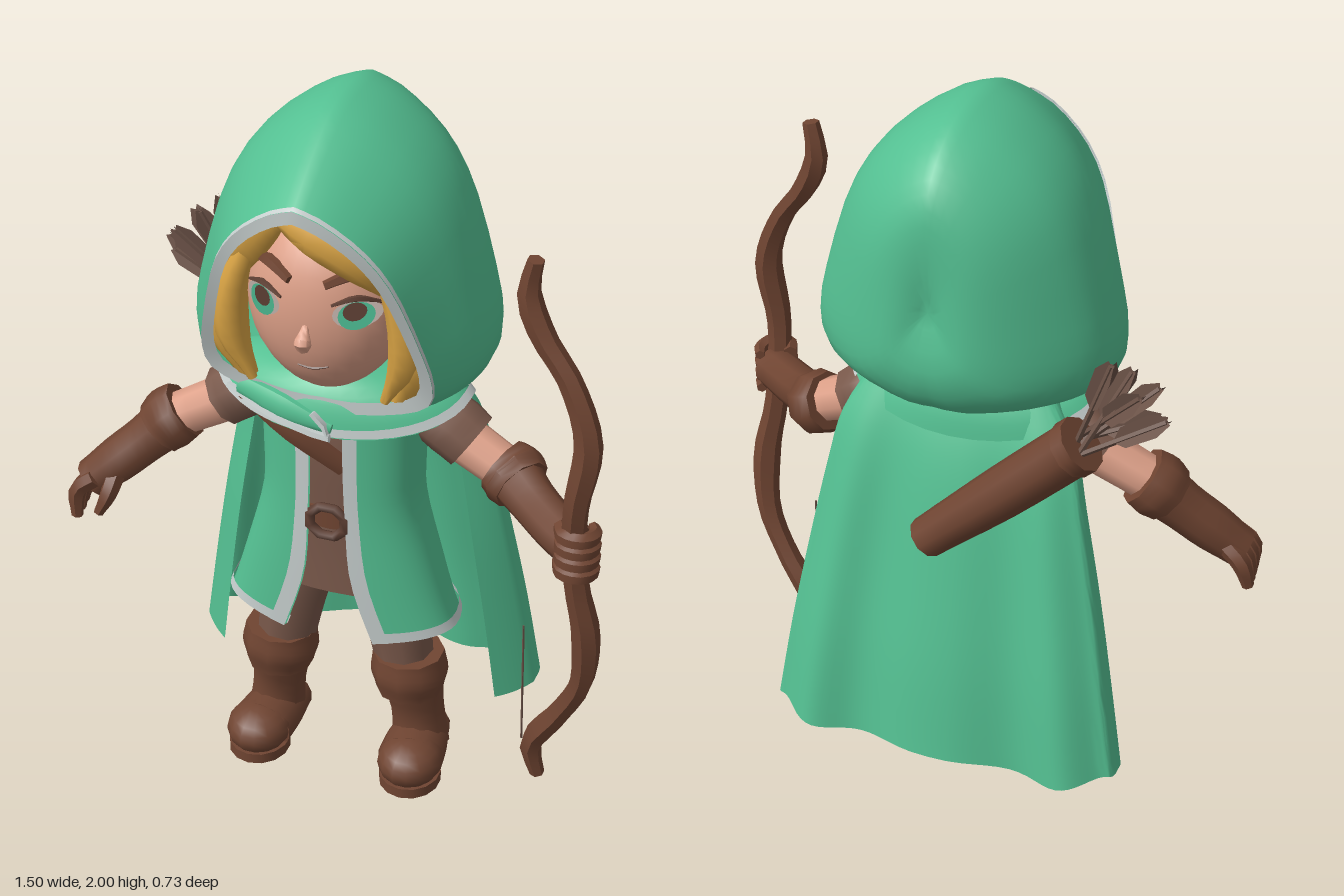
import * as THREE from 'three';
import { toCreasedNormals } from 'three/addons/utils/BufferGeometryUtils.js';

const { sin, cos, abs, sign, min, max, floor, round, PI } = Math;
const clamp = THREE.MathUtils.clamp;

const mat = (name, color, side = THREE.FrontSide) => {
  const m = new THREE.MeshStandardMaterial({ color, side });
  m.name = name;
  return m;
};

// Smooth interpolation through a short list of rows, t in 0..1
function at(rows, t) {
  const n = rows.length - 1, f = clamp(t, 0, 1) * n, i = min(floor(f), n - 1), k = f - i;
  const g = m => rows[clamp(m, 0, n)];
  return rows[i].map((_, c) => {
    const a = g(i - 1)[c], b = g(i)[c], d = g(i + 1)[c], e = g(i + 2)[c];
    return b + 0.5 * k * (d - a + k * (2 * a - 5 * b + 4 * d - e + k * (3 * (b - d) + e - a)));
  });
}

// Surface from a rule fn(u, v) -> [x, y, z]
function grid(fn, nu, nv, crease = 0.8) {
  const pos = [], idx = [];
  for (let j = 0; j <= nv; j++) for (let i = 0; i <= nu; i++) pos.push(...fn(i / nu, j / nv));
  for (let j = 0; j < nv; j++) for (let i = 0; i < nu; i++) {
    const a = j * (nu + 1) + i, c = a + nu + 1;
    idx.push(a, a + 1, c, a + 1, c + 1, c);
  }
  const geo = new THREE.BufferGeometry();
  geo.setAttribute('position', new THREE.Float32BufferAttribute(pos, 3));
  geo.setIndex(idx);
  return toCreasedNormals(geo, crease);
}

// Capped tube along points with changing radius; squash scales the section per axis
function sweep(points, radii, { sides = 9, squash = [1, 1, 1], steps = 3 } = {}) {
  const curve = new THREE.CatmullRomCurve3(points.map(p => new THREE.Vector3(...p)));
  const n = (points.length - 1) * steps, fr = curve.computeFrenetFrames(n), rr = radii.map(r => [r]);
  return grid((u, v) => {
    const j = round(v * (n + 2)), i = clamp(j - 1, 0, n), a = u * 2 * PI;
    const r = j === 0 || j === n + 2 ? 0 : max(0.002, at(rr, i / n)[0]);
    const p = curve.getPointAt(i / n), N = fr.normals[i], B = fr.binormals[i];
    const off = k => r * squash[k] * (N.getComponent(k) * cos(a) + B.getComponent(k) * sin(a));
    return [p.x + off(0), max(0, p.y + off(1)), p.z + off(2)];
  }, sides, n + 2);
}

export function createModel() {
  const root = new THREE.Group();
  const green = mat('green cloth', 0x54c092, THREE.DoubleSide);
  const trim = mat('pale trim', 0xc6cecd, THREE.DoubleSide);
  const leather = mat('brown leather', 0x704532);
  const cloth = mat('brown cloth', 0x7a594b);
  const skin = mat('skin', 0xdc9f87);
  const hair = mat('blond hair', 0xdba545);
  const dark = mat('dark brown', 0x5f4034);
  const white = mat('eye white', 0xc4b4ac);
  const iris = mat('iris green', 0x4dbb92);
  const shaft = mat('arrow wood', 0x6b5247, THREE.DoubleSide);
  const add = (name, geo, m) => {
    const mesh = new THREE.Mesh(geo, m);
    mesh.name = name;
    root.add(mesh);
    return mesh;
  };
  const mir = (pts, s) => pts.map(([x, y, z]) => [x * s, y, z]);

  // Hood: loops running from the face opening to a rounded back
  const half = [[0, 1], [0.2, 0.965], [0.45, 0.88], [0.65, 0.77], [0.8, 0.62], [0.95, 0.37], [1, 0.23], [0.95, 0.12], [0.7, 0.05], [0.3, 0], [0, 0]];
  const rings = [[0.298, 1.835, 1.2, 0.365, 0.17], [0.34, 1.91, 1.185, 0.25, 0.12], [0.382, 1.985, 1.19, 0.1, 0.05],
    [0.395, 2, 1.2, -0.04, -0.05], [0.368, 1.98, 1.22, -0.16, -0.15], [0.29, 1.92, 1.24, -0.265, -0.24],
    [0.19, 1.83, 1.29, -0.325, -0.315], [0.09, 1.7, 1.4, -0.335, -0.352], [0, 1.55, 1.55, -0.32, -0.32]];
  const hood = (u, v, o = 0) => {
    const [w, top, bot, zt, zb] = at(rings, v), [px, py] = at(half, 1 - abs(1 - 2 * u));
    return [(w + o) * px * (u > 0.5 ? -1 : 1), bot - o + (top - bot + 2 * o) * py, zb + (zt - zb) * py];
  };
  add('hood', grid((u, v) => hood(u, v), 40, 24), green);
  add('hoodRim', grid((u, v) => hood(u, 0, 0.006 - 0.034 * v).map((c, k) => k === 2 ? c + 0.004 : c), 40, 1), trim);
  add('hoodRimOuter', grid((u, v) => hood(u, 0.018 * v, 0.005), 40, 1), trim);

  // Head with a soft jaw and a flattened face
  const H = { y: 1.5, z: 0.06, rx: 0.213, ry: 0.26, rz: 0.23 };
  const jaw = Y => 1 - (Y < 0 ? 0.12 * Y * Y : 0);
  const faceZ = (x, y) => {
    const Y = (y - H.y) / H.ry, X = x / (H.rx * jaw(Y));
    return H.z + H.rz * max(0, 1 - Y * Y - X * X) ** 0.375;
  };
  add('head', grid((u, v) => {
    const a = u * 2 * PI, b = (v - 0.5) * PI, Y = sin(b), Z = cos(a) * cos(b);
    return [sin(a) * cos(b) * H.rx * jaw(Y), H.y + Y * H.ry, H.z + H.rz * sign(Z) * abs(Z) ** 0.75];
  }, 32, 20, 1.2), skin);
  add('neck', new THREE.CylinderGeometry(0.08, 0.1, 0.2, 12).translate(0, 1.2, 0.02), skin);
  add('nose', sweep([[0, 1.5, 0.278], [0, 1.47, 0.298], [0, 1.45, 0.306], [0, 1.438, 0.285]], [0.006, 0.013, 0.023, 0.012], { sides: 8 }), skin);
  add('mouth', sweep([[-0.03, 1.367, faceZ(0.03, 1.367)], [0.01, 1.363, faceZ(0.01, 1.363)], [0.05, 1.373, faceZ(0.05, 1.373)]], [0.002, 0.004, 0.002], { sides: 4 }), dark);

  // Eyes: layered thin plates that follow the face
  const plate = (name, cx, cy, rx, ry, lift, m) => {
    const geo = new THREE.CircleGeometry(1, 18).scale(rx, ry, 1).translate(cx, cy, 0), p = geo.attributes.position;
    for (let i = 0; i < p.count; i++) p.setZ(i, faceZ(p.getX(i), p.getY(i)) + lift);
    add(name, geo, m);
  };
  for (const s of [-1, 1]) {
    plate('eyeWhite', s * 0.122, 1.532, 0.054, 0.036, 0.004, white);
    plate('iris', s * 0.122, 1.53, 0.04, 0.037, 0.007, iris);
    plate('pupil', s * 0.12, 1.543, 0.026, 0.024, 0.01, dark);
    const onFace = (x, y) => [s * x, y, faceZ(x, y) + 0.004];
    add('lash', sweep([onFace(0.065, 1.557), onFace(0.12, 1.574), onFace(0.175, 1.552)], [0.004, 0.009, 0.004], { sides: 5 }), dark);
    add('eyebrow', sweep([onFace(0.045, 1.605), onFace(0.11, 1.63), onFace(0.17, 1.608)], [0.012, 0.017, 0.006], { sides: 5 }), leather);
    add('sideLock', sweep(mir([[0.19, 1.66, 0.18], [0.24, 1.5, 0.18], [0.25, 1.38, 0.17], [0.2, 1.25, 0.16]], s), [0.03, 0.046, 0.055, 0.024]), hair);
    add('innerLock', sweep(mir([[0.165, 1.67, 0.22], [0.215, 1.54, 0.22], [0.228, 1.4, 0.205], [0.175, 1.265, 0.2]], s), [0.025, 0.034, 0.042, 0.012]), hair);
  }
  add('hairCap', new THREE.SphereGeometry(1, 20, 14).scale(0.245, 0.27, 0.22).translate(0, 1.53, 0.02), hair);
  const fringe = [[[-0.11, 1.755, 0.23], [0.02, 1.735, 0.275], [0.13, 1.67, 0.265], [0.2, 1.56, 0.21]],
    [[-0.06, 1.78, 0.22], [0.08, 1.755, 0.24], [0.17, 1.69, 0.22], [0.22, 1.58, 0.18]],
    [[-0.03, 1.77, 0.23], [-0.12, 1.735, 0.23], [-0.185, 1.64, 0.215], [-0.22, 1.53, 0.18]]];
  fringe.forEach(p => add('fringe', sweep(p, [0.02, 0.055, 0.05, 0.01], { squash: [1, 1, 0.6] }), hair));

  // Tunic
  const tunic = [[0.56, 0.19, 0.11], [0.7, 0.185, 0.11], [0.83, 0.175, 0.115], [1, 0.18, 0.125], [1.12, 0.2, 0.12], [1.2, 0.13, 0.09]];
  const ring = (a, w, d, p = 0.8) => [w * sign(sin(a)) * abs(sin(a)) ** p, d * sign(cos(a)) * abs(cos(a)) ** p];
  add('tunic', grid((u, v) => {
    const [y, w, d] = at(tunic, v), k = v === 0 ? 0 : 1, [x, z] = ring(u * 2 * PI, w * k, d * k);
    return [x, y, z];
  }, 28, 20), cloth);

  // Open coat with trimmed edges: y, half width, depth, half gap
  const coatRows = [[0.44, 0.318, 0.135, 0.125], [0.65, 0.265, 0.14, 0.065], [0.85, 0.218, 0.142, 0.05], [1, 0.215, 0.145, 0.045], [1.17, 0.22, 0.15, 0.045]];
  const coat = (u, v, o = 0) => {
    const [y, w, d, gap] = at(coatRows, v), a0 = (gap / w) ** 1.25;
    const a = a0 + u * (2 * PI - 2 * a0), [x, z] = ring(a, w + o, d + o);
    return [x, y + (1 - v) ** 3 * (0.06 * abs(x) / w + 0.07 * max(0, -cos(a))), z];
  };
  add('coat', grid((u, v) => coat(u, v), 40, 14), green);
  for (const o of [0.007, -0.006]) add('coatHemTrim', grid((u, v) => coat(u, v * 0.06, o), 40, 1), trim);
  for (const s of [0, 1]) add('coatFrontTrim', grid((u, v) => coat(abs(s - u * 0.026), v, 0.008), 2, 14), trim);

  // Strap, belt and buckle
  add('chestStrap', sweep([[-0.22, 1.19, 0.14], [-0.1, 1.115, 0.162], [0.045, 1.0, 0.128]], [0.034, 0.036, 0.03], { squash: [1, 1, 0.5], sides: 6 }), leather);
  add('belt', new THREE.CylinderGeometry(1, 1, 0.06, 24, 1).scale(0.18, 1, 0.128).translate(0, 0.83, 0), leather);
  add('buckle', new THREE.TorusGeometry(0.046, 0.014, 6, 8).rotateZ(PI / 8).scale(1.15, 1, 1).translate(0, 0.83, 0.14), dark);

  // Shoulder mantle with trim
  const mantleRows = [[0.12, 0.12, 1.28, 0], [0.22, 0.165, 1.265, 0.03], [0.295, 0.188, 1.245, 0.065], [0.338, 0.198, 1.205, 0.08]];
  const mantle = (u, v, o = 0) => {
    const [w, d, y, drop] = at(mantleRows, v), a = u * 2 * PI, [x, z] = ring(a, w + o, d + o, 1);
    return [x, y + o - drop * abs(cos(a)), z];
  };
  add('mantle', grid((u, v) => mantle(u, v), 32, 8), green);
  add('mantleTrim', grid((u, v) => mantle(u * 0.66 - 0.33, 0.84 + 0.16 * v, 0.008), 28, 2), trim);
  add('collarFlap', sweep([[-0.22, 1.22, 0.17], [-0.07, 1.19, 0.21], [0.04, 1.165, 0.215]], [0.03, 0.04, 0.015], { squash: [1, 1, 0.5] }), green);
  add('collarFlapTrim', sweep([[-0.26, 1.205, 0.16], [-0.08, 1.165, 0.22], [0.045, 1.145, 0.225], [-0.01, 1.205, 0.22]], [0.01, 0.013, 0.012, 0.01], { sides: 5 }), trim);

  // Cape: y, half width, front edge z, back z
  const capeRows = [[1.23, 0.25, -0.04, -0.13], [1.1, 0.32, -0.07, -0.185], [0.95, 0.355, -0.08, -0.225], [0.7, 0.405, -0.08, -0.27], [0.45, 0.45, -0.09, -0.31], [0.2, 0.49, -0.1, -0.335]];
  add('cape', grid((u, v) => {
    const [y, w, ze, zb] = at(capeRows, v), t = (u * 2 - 1) * 1.95, c = cos(t), zm = ze - (ze - zb) * 0.4;
    const x = w * sign(sin(t)) * abs(sin(t)) ** 0.8 * (1 - 0.35 * max(0, -c));
    const z = c > 0 ? zm + (zb - zm) * c ** 0.45 : zm + (ze - zm) * -c / 0.37;
    return [x, y - 0.012 * v * max(0, c) + 0.012 * v * cos(5 * t), z - 0.024 * v * cos(8 * t) * max(0, c) ** 0.5];
  }, 64, 20), green);

  // Legs and boots
  for (const s of [-1, 1]) {
    add('trouserLeg', sweep(mir([[0.11, 0.64, 0], [0.15, 0.48, 0], [0.175, 0.32, 0]], s), [0.095, 0.09, 0.08]), cloth);
    add('bootShaft', sweep(mir([[0.215, 0.05, -0.025], [0.205, 0.16, -0.025], [0.19, 0.3, -0.005]], s), [0.08, 0.074, 0.088]), leather);
    add('bootCuff', sweep(mir([[0.19, 0.25, 0.005], [0.188, 0.31, 0.005], [0.185, 0.37, 0.005]], s), [0.092, 0.106, 0.098], { sides: 10 }), leather);
    add('bootFoot', sweep(mir([[0.205, 0.055, -0.1], [0.212, 0.06, -0.01], [0.22, 0.06, 0.09]], s), [0.07, 0.085, 0.09], { sides: 14, squash: [1, 0.85, 1] }), leather);
    add('bootToe', new THREE.SphereGeometry(1, 14, 10).scale(0.09, 0.068, 0.1).translate(s * 0.222, 0.067, 0.09), leather);
    add('bootSole', new THREE.CylinderGeometry(0.085, 0.085, 0.03, 14).scale(1, 1, 1.1).translate(s * 0.222, 0.015, 0.09), leather);
  }

  // Right arm, hanging open
  add('rightSleeve', sweep([[-0.2, 1.13, -0.02], [-0.28, 1.1, -0.02], [-0.345, 1.055, -0.015]], [0.07, 0.085, 0.082]), cloth);
  add('rightUpperArm', sweep([[-0.3, 1.075, -0.015], [-0.48, 0.98, 0.01]], [0.065, 0.06]), skin);
  add('rightGloveCuff', sweep([[-0.455, 0.998, 0], [-0.485, 0.975, 0.01], [-0.52, 0.94, 0.025]], [0.082, 0.088, 0.078]), leather);
  add('rightGlove', sweep([[-0.48, 0.975, 0.01], [-0.56, 0.9, 0.04], [-0.64, 0.83, 0.07], [-0.7, 0.78, 0.09]], [0.075, 0.066, 0.064, 0.054]), leather);
  for (let i = 0; i < 4; i++) add('rightFinger', sweep([[-0.67, 0.81, 0.045 + i * 0.027], [-0.718, 0.77, 0.035 + i * 0.033], [-0.74 + i * 0.006, 0.7 - 0.004 * i, 0.04 + i * 0.034]], [0.026, 0.025, 0.016], { sides: 6 }), leather);
  add('rightThumb', sweep([[-0.62, 0.82, 0.1], [-0.63, 0.77, 0.135], [-0.655, 0.715, 0.15]], [0.028, 0.024, 0.014], { sides: 6 }), leather);

  // Left arm, gripping the bow
  add('leftSleeve', sweep([[0.2, 1.13, -0.02], [0.28, 1.1, -0.02], [0.34, 1.06, -0.015]], [0.07, 0.085, 0.082]), cloth);
  add('leftUpperArm', sweep([[0.3, 1.075, -0.015], [0.46, 1, 0.01]], [0.065, 0.06]), skin);
  add('leftGloveCuff', sweep([[0.425, 1.015, -0.005], [0.455, 1.0, 0.005], [0.49, 0.985, 0.03]], [0.08, 0.09, 0.08]), leather);
  add('leftGlove', sweep([[0.45, 1.005, 0.005], [0.54, 0.97, 0.08], [0.63, 0.95, 0.155], [0.69, 0.945, 0.2]], [0.075, 0.064, 0.062, 0.06]), leather);
  for (let i = 0; i < 4; i++) {
    const y = 1 - i * 0.035;
    add('leftFinger', sweep([[0.64, y, 0.2], [0.665, y, 0.245], [0.71, y, 0.248], [0.73, y - 0.005, 0.2], [0.715, y - 0.005, 0.165]], [0.02, 0.022, 0.022, 0.02, 0.014], { sides: 6 }), leather);
  }

  // Bow and a loose string
  const bow = [[0.545, 1.725, 0.19], [0.53, 1.63, 0.185], [0.57, 1.53, 0.195], [0.65, 1.42, 0.21], [0.705, 1.27, 0.225], [0.685, 1.09, 0.23], [0.68, 0.95, 0.21],
    [0.69, 0.82, 0.195], [0.715, 0.68, 0.18], [0.705, 0.5, 0.155], [0.645, 0.37, 0.135], [0.57, 0.24, 0.12], [0.588, 0.135, 0.11]];
  add('bow', sweep(bow, [0.022, 0.033, 0.03, 0.033, 0.038, 0.033, 0.032, 0.033, 0.038, 0.033, 0.03, 0.033, 0.02], { sides: 6 }), leather);
  add('bowString', sweep([[0.53, 0.6, 0.1], [0.54, 0.24, 0.11]], [0.003, 0.003], { sides: 4 }), shaft);

  // Quiver and arrows on the back
  add('quiver', sweep([[0.04, 0.84, -0.255], [-0.16, 1.025, -0.258], [-0.37, 1.225, -0.262]], [0.056, 0.068, 0.07], { sides: 10 }), leather);
  add('quiverRim', sweep([[-0.35, 1.207, -0.262], [-0.38, 1.234, -0.262]], [0.075, 0.075], { sides: 10 }), leather);
  const tips = [[-0.6, 1.36, -0.28], [-0.56, 1.41, -0.22], [-0.54, 1.43, -0.31], [-0.5, 1.46, -0.25], [-0.46, 1.49, -0.29], [-0.57, 1.34, -0.24]];
  const vane = new THREE.Shape([[0, -0.14], [0.03, -0.1], [0.034, -0.01], [0.012, 0.03], [0, 0.02]].map(p => new THREE.Vector2(...p)));
  tips.forEach((tip, i) => {
    const end = new THREE.Vector3(...tip), base = new THREE.Vector3(-0.36 + 0.02 * (i % 3 - 1), 1.215, -0.262 + 0.025 * (i % 3 - 1));
    add('arrowShaft', sweep([base.toArray(), tip], [0.008, 0.008], { sides: 5 }), shaft);
    const dir = end.clone().sub(base).normalize();
    for (let k = 0; k < 3; k++) {
      const m = add('arrowVane', new THREE.ShapeGeometry(vane).rotateY(k * 2 * PI / 3), shaft);
      m.quaternion.setFromUnitVectors(new THREE.Vector3(0, 1, 0), dir);
      m.position.copy(end).addScaledVector(dir, -0.02);
    }
  });
  return root;
}
